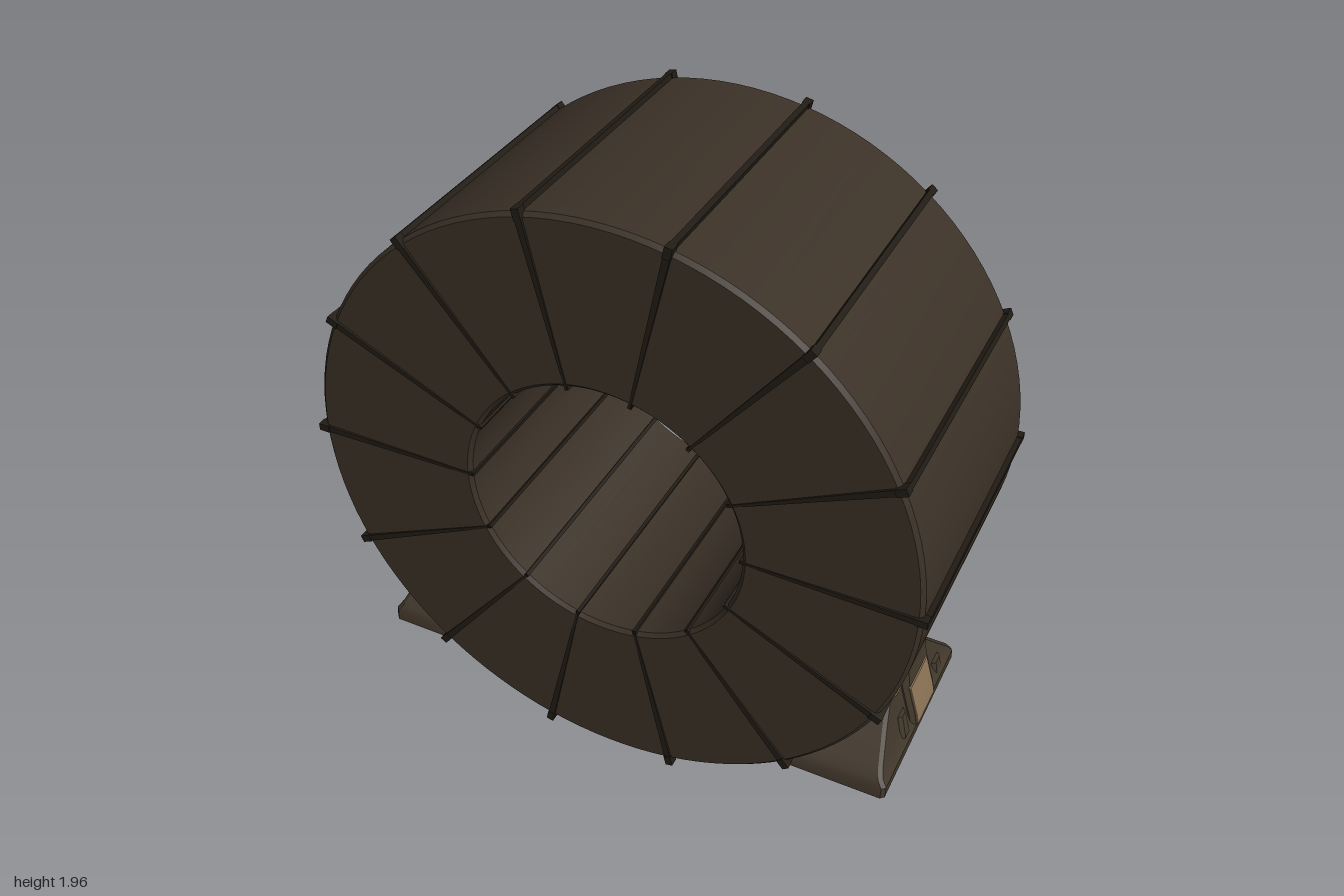
import * as THREE from 'three';
import { toCreasedNormals } from 'three/addons/utils/BufferGeometryUtils.js';

const CY = 0.985, R = 0.981, RI = 0.445, HALF = 0.455, STRAPS = 14;

const mat = (name, color) => {
  const m = new THREE.MeshStandardMaterial({ color });
  m.name = name;
  return m;
};

// Stack of chamfered rectangles: levels are [y, x0, x1, z0, z1]; side -1 mirrors in x
function loft(levels, side = 1, chamfer = 0.012) {
  const pos = [], idx = [], n = 8;
  for (const [y, x0, x1, z0, z1] of levels) {
    const c = Math.min(chamfer, (x1 - x0) * 0.4, (z1 - z0) * 0.4);
    const ring = [[x0 + c, z1], [x1 - c, z1], [x1, z1 - c], [x1, z0 + c],
      [x1 - c, z0], [x0 + c, z0], [x0, z0 + c], [x0, z1 - c]];
    for (const [x, z] of ring) pos.push(side * x, y, z);
  }
  const tri = (a, b, c) => (side > 0 ? idx.push(a, b, c) : idx.push(a, c, b));
  const top = (levels.length - 1) * n;
  for (let k = 0; k < levels.length - 1; k++) {
    for (let i = 0; i < n; i++) {
      const a = k * n + i, b = k * n + (i + 1) % n;
      tri(a, b, b + n);
      tri(a, b + n, a + n);
    }
  }
  for (let i = 1; i < n - 1; i++) {
    tri(0, i + 1, i);
    tri(top, top + i, top + i + 1);
  }
  const g = new THREE.BufferGeometry();
  g.setAttribute('position', new THREE.Float32BufferAttribute(pos, 3));
  g.setIndex(idx);
  return toCreasedNormals(g, 0.45);
}

// x of the coil's surface at height y, where a chock touches it
const coilX = (y) => Math.max(0.48, Math.sqrt(Math.max(0, R * R - (CY - y) ** 2)) - 0.004);

// Piecewise linear lookup
function lerpTable(table, y) {
  for (let i = 1; i < table.length; i++) {
    const [y0, v0] = table[i - 1], [y1, v1] = table[i];
    if (y <= y1) return v0 + (v1 - v0) * (y - y0) / (y1 - y0);
  }
  return table[table.length - 1][1];
}
const housingX = (y) => lerpTable([[0.08, 0.908], [0.13, 0.908], [0.17, 0.9], [0.29, 0.865], [0.36, 0.855], [0.46, 0.835]], y);
const bodyX = (y) => lerpTable([[0.08, 0.908], [0.12, 0.908], [0.15, 0.885], [0.29, 0.845], [0.4, 0.83]], y);
const bodyZ = (y) => lerpTable([[0.08, 0.345], [0.13, 0.34], [0.36, 0.115], [0.4, 0.09]], y);

export function createModel() {
  const wrap = mat('wrapping brown', 0x3b3127);
  const dark = mat('strap dark brown', 0x211b14);
  const chockMat = mat('chock brown', 0x41372b);
  const tan = mat('worn tan', 0x8a7355);

  const model = new THREE.Group();
  const add = (parent, name, geo, material) => {
    const m = new THREE.Mesh(geo, material);
    m.name = name;
    parent.add(m);
    return m;
  };

  // Coil: hollow cylinder with small bevels
  const coil = new THREE.Group();
  coil.name = 'coil';
  coil.position.y = CY;
  model.add(coil);
  const b = 0.012;
  const profile = [[R, -HALF + b], [R, HALF - b], [R - b, HALF], [RI + b, HALF], [RI, HALF - b],
    [RI, -HALF + b], [RI + b, -HALF], [R - b, -HALF], [R, -HALF + b]]
    .map(([x, y]) => new THREE.Vector2(x, y));
  const body = new THREE.LatheGeometry(profile, 112).rotateX(Math.PI / 2);
  add(coil, 'coilBody', toCreasedNormals(body, 0.5), wrap);

  // Straps: a bar outside, a bar inside and a tapering arm on each face
  const outerBar = new THREE.BoxGeometry(0.022, 0.018, 0.91).translate(R + 0.005, 0, 0);
  const innerBar = new THREE.BoxGeometry(0.012, 0.012, 0.91).translate(RI - 0.002, 0, 0);
  const knob = new THREE.BoxGeometry(0.036, 0.024, 0.03);
  const armShape = new THREE.Shape([[RI - 0.004, -0.004], [R + 0.01, -0.011], [R + 0.01, 0.011], [RI - 0.004, 0.004]]
    .map(([x, y]) => new THREE.Vector2(x, y)));
  const arm = new THREE.ExtrudeGeometry(armShape, { depth: 0.016, bevelEnabled: false });
  // Arms sink into the face towards the hole
  const p = arm.attributes.position;
  for (let i = 0; i < p.count; i++) {
    if (p.getX(i) < 0.6) p.setZ(i, p.getZ(i) - 0.006);
  }
  arm.computeVertexNormals();
  for (let i = 0; i < STRAPS; i++) {
    const strap = new THREE.Group();
    strap.name = 'strap' + (i + 1);
    strap.rotation.z = i * Math.PI * 2 / STRAPS;
    coil.add(strap);
    add(strap, 'strapOuterBar', outerBar, dark);
    add(strap, 'strapInnerBar', innerBar, dark);
    add(strap, 'strapFrontArm', arm, dark).position.z = 0.447;
    const back = add(strap, 'strapBackArm', arm, dark);
    back.rotation.x = Math.PI;
    back.position.z = -0.447;
    for (const s of [1, -1]) add(strap, 'strapCorner', knob, dark).position.set(R - 0.002, 0, s * 0.45);
  }

  // Chocks: wedge bodies hugging the coil, one on each side
  for (const side of [1, -1]) {
    const chock = new THREE.Group();
    chock.name = side > 0 ? 'leftChock' : 'rightChock';
    model.add(chock);

    const bodyLevels = [0.08, 0.12, 0.14, 0.17, 0.21, 0.25, 0.3, 0.35, 0.38, 0.4]
      .map((y) => [y, coilX(y), bodyX(y), -bodyZ(y), bodyZ(y)]);
    add(chock, 'chockBody', loft(bodyLevels, side), chockMat);

    // Raised central housing
    const housingLevels = [0.12, 0.135, 0.17, 0.23, 0.29, 0.36, 0.44, 0.46]
      .map((y) => [y, coilX(y) - 0.01, housingX(y) + 0.003, -0.14, 0.06]);
    add(chock, 'chockHousing', loft(housingLevels, side, 0.018), chockMat);

    // Worn plate on the housing
    const plateLevels = [0.135, 0.17, 0.23, 0.28]
      .map((y) => [y, housingX(y), housingX(y) + 0.008, -0.11, 0.05]);
    add(chock, 'wornPlate', loft(plateLevels, side, 0.002), tan);

    // Shoulders beside the housing
    add(chock, 'chockShoulder', loft([[0.3, 0.73, 0.85, 0.05, 0.125], [0.36, 0.77, 0.845, 0.05, 0.12],
      [0.395, 0.795, 0.835, 0.05, 0.09]], side), tan);
    add(chock, 'chockShoulder', loft([[0.3, 0.73, 0.85, -0.165, -0.13], [0.37, 0.77, 0.845, -0.155, -0.13],
      [0.4, 0.795, 0.835, -0.145, -0.13]], side), chockMat);

    // Side lugs on the outer face
    add(chock, 'chockLug', loft([[0.09, 0.8, 0.905, -0.25, -0.18], [0.18, 0.8, 0.89, -0.24, -0.18]], side), chockMat);
    add(chock, 'chockLug', loft([[0.14, 0.8, 0.9, 0.08, 0.14], [0.22, 0.8, 0.878, 0.08, 0.13]], side), chockMat);

    // Worn edges beside the coil, front and back
    for (const s of [1, -1]) {
      const edge = [0.165, 0.2, 0.235].map((y) => {
        const z = s * bodyZ(y), x = coilX(y);
        return [y, x + 0.012, x + 0.05, z - 0.004, z + 0.004];
      });
      add(chock, 'wornEdge', loft(edge, side, 0.001), tan);
    }
  }
  return model;
}
